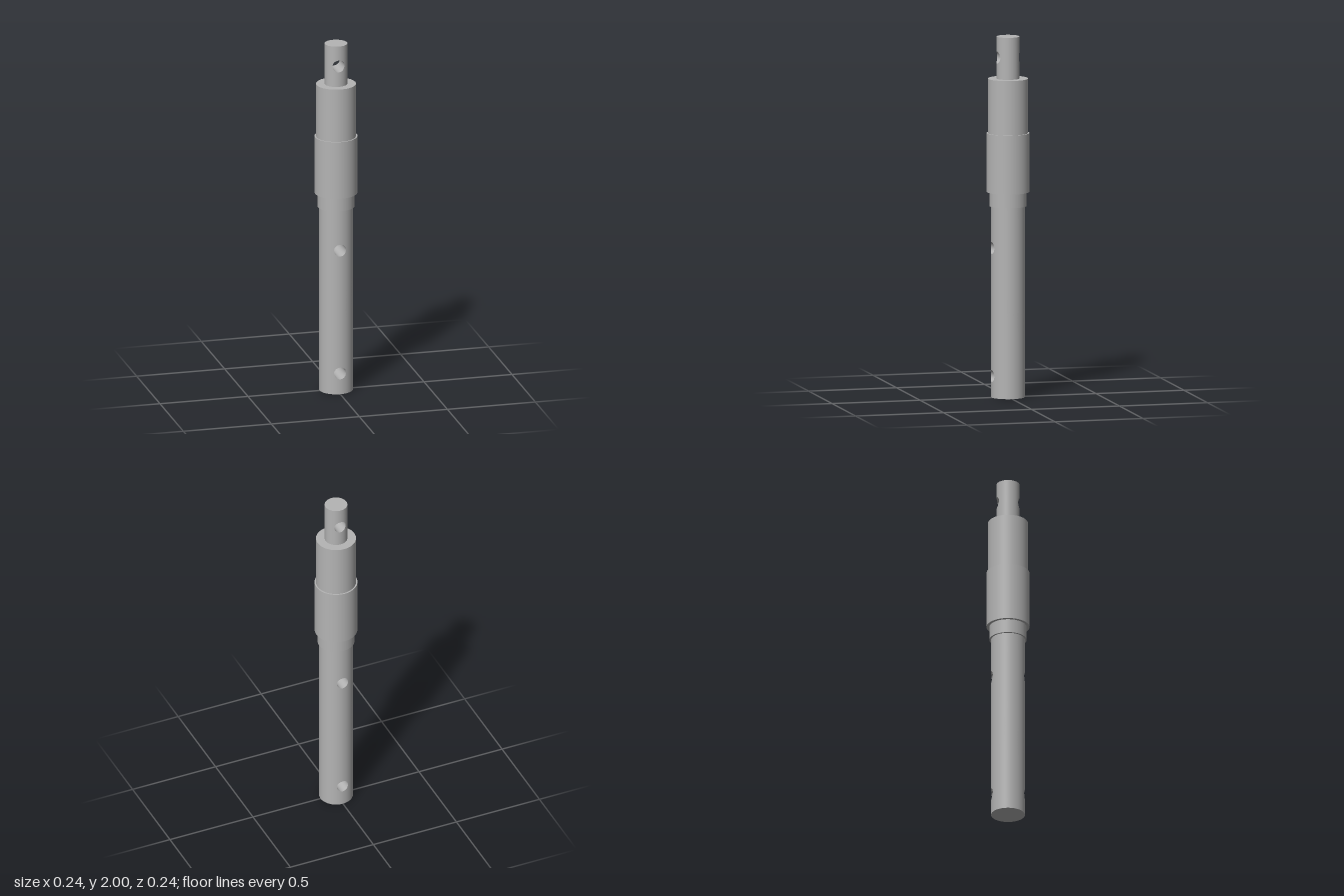
import * as THREE from 'three';

const SIDES = 64;      // facets of the plain round parts
const HOLE_R = 0.034;  // radius of every cross hole

// Smooth grid closed in i (angle t), open in k (0..1); point(t, k) and normal(point) give each vertex
function gridGeometry(rows, point, normal) {
  const n = 128, pos = [], nor = [], idx = [];
  for (let i = 0; i <= n; i++) {
    for (let k = 0; k <= rows; k++) {
      const p = point((i / n) * Math.PI * 2, k / rows);
      pos.push(p.x, p.y, p.z);
      nor.push(...normal(p).normalize().toArray());
      if (i < n && k < rows) {
        const a = i * (rows + 1) + k, d = a + rows + 1;
        idx.push(a, a + 1, d + 1, a, d + 1, d);
      }
    }
  }
  const g = new THREE.BufferGeometry();
  g.setAttribute('position', new THREE.Float32BufferAttribute(pos, 3));
  g.setAttribute('normal', new THREE.Float32BufferAttribute(nor, 3));
  g.setIndex(idx);
  return g;
}

// Half of a cylinder wall (facing +z) with a round hole at height yc
function drilledHalf(R, y0, y1, yc) {
  const even = (v) => Math.atan(v) / (Math.PI / 4);
  return gridGeometry(20, (t, k) => {
    const c = Math.cos(t), s = Math.sin(t), m = Math.max(Math.abs(c), Math.abs(s));
    const edgeY = yc + even(s / m) * (s > 0 ? y1 - yc : yc - y0);
    const angle = THREE.MathUtils.lerp(Math.asin((HOLE_R * c) / R), even(c / m) * Math.PI / 2, k);
    const y = THREE.MathUtils.lerp(yc + HOLE_R * s, edgeY, k);
    return new THREE.Vector3(R * Math.sin(angle), y, R * Math.cos(angle));
  }, (p) => new THREE.Vector3(p.x, 0, p.z));
}

// Inner wall of a cross hole running along z
function boreGeometry(R, yc) {
  return gridGeometry(1, (t, k) => {
    const x = HOLE_R * Math.cos(t);
    return new THREE.Vector3(x, yc + HOLE_R * Math.sin(t), (k * 2 - 1) * Math.sqrt(R * R - x * x));
  }, (p) => new THREE.Vector3(-p.x, yc - p.y, 0));
}

export function createModel() {
  const model = new THREE.Group();
  model.name = 'steppedShaft';
  const steel = new THREE.MeshStandardMaterial({ color: 0xb4b4b4 });
  steel.name = 'steelGrey';

  const add = (name, geometry, parent = model) => {
    const mesh = new THREE.Mesh(geometry, steel);
    mesh.name = name;
    parent.add(mesh);
    return mesh;
  };
  const sleeve = (name, R, y0, y1) =>
    add(name, new THREE.CylinderGeometry(R, R, y1 - y0, SIDES, 1, true).translate(0, (y0 + y1) / 2, 0));
  // Flat ring or disc facing up (1) or down (-1)
  const face = (name, inner, outer, y, dir) => {
    const g = inner > 0 ? new THREE.RingGeometry(inner, outer, SIDES) : new THREE.CircleGeometry(outer, SIDES);
    add(name, g.rotateX(-dir * Math.PI / 2).translate(0, y, 0));
  };
  // Cylinder section with a hole right through it from front to back
  const drilled = (name, R, y0, y1, yc) => {
    const group = new THREE.Group();
    group.name = name;
    add('frontWall', drilledHalf(R, y0, y1, yc), group);
    add('backWall', drilledHalf(R, y0, y1, yc).rotateY(Math.PI), group);
    add('bore', boreGeometry(R, yc), group);
    model.add(group);
  };

  const shaft = 0.093, neck = 0.102, collar = 0.118, upper = 0.11, pin = 0.0625;

  // Long lower shaft with two cross holes
  face('shaftBottom', 0, shaft, 0, -1);
  drilled('lowerShaft', shaft, 0, 0.475, 0.12);
  drilled('middleShaft', shaft, 0.475, 1.06, 0.83);

  // Stepped neck, collar and upper body
  face('neckUnderside', shaft, neck, 1.06, -1);
  sleeve('neck', neck, 1.06, 1.138);
  face('collarUnderside', neck, collar, 1.138, -1);
  sleeve('collar', collar, 1.138, 1.465);
  face('collarShoulder', upper, collar, 1.465, 1);
  sleeve('upperBody', upper, 1.465, 1.767);
  face('upperShoulder', pin, upper, 1.767, 1);

  // Top pin with its cross hole
  drilled('topPin', pin, 1.767, 2, 1.885);
  face('pinTop', 0, pin, 2, 1);

  return model;
}
